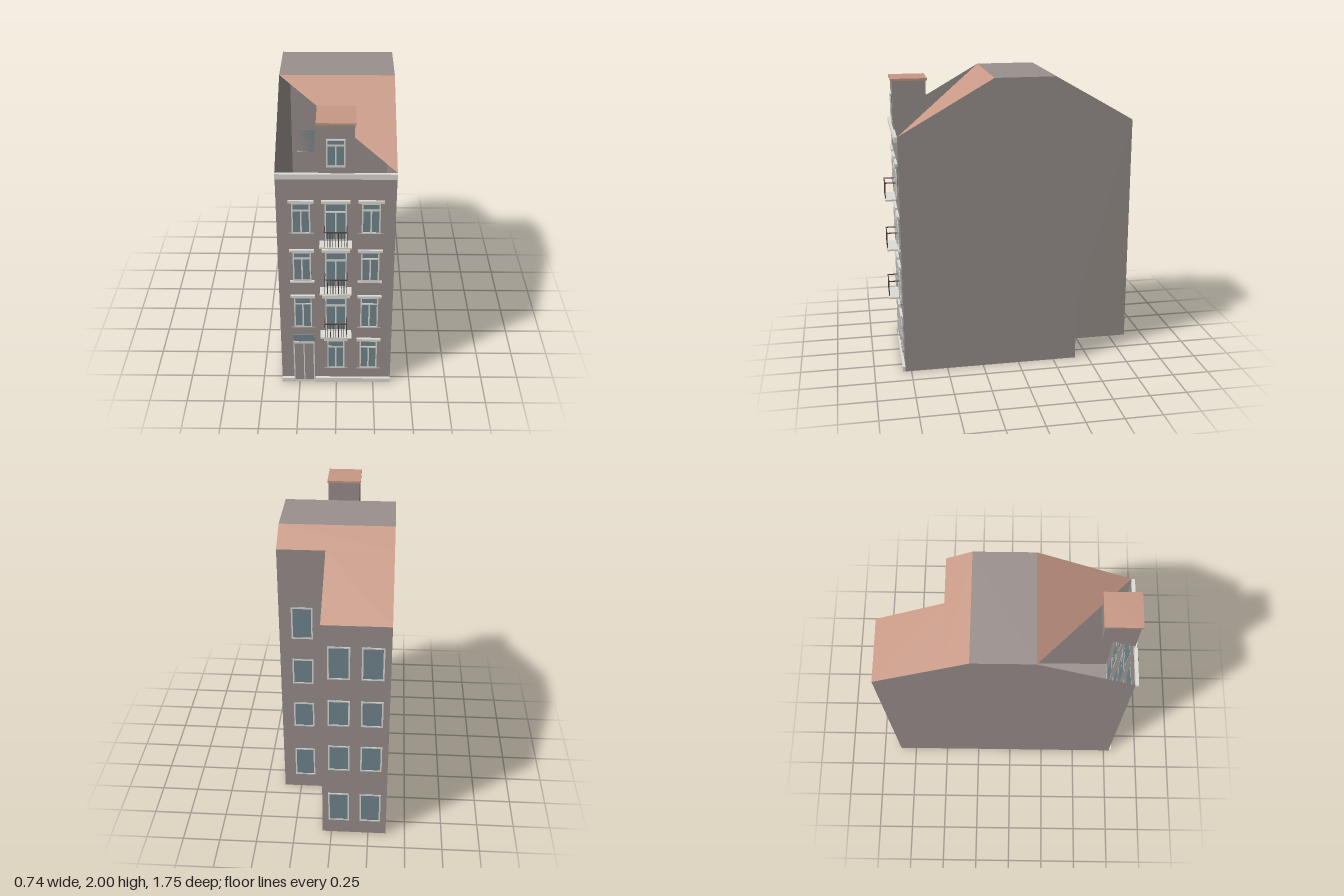
import * as THREE from 'three';

const mat = (name, color) => {
  const m = new THREE.MeshStandardMaterial({ color, side: THREE.DoubleSide });
  m.name = name;
  return m;
};

export function createModel() {
  const wall = mat('wallGrey', 0x9a908d);
  const tile = mat('roofTile', 0xc79885);
  const trim = mat('trimWhite', 0xdedcd5);
  const glass = mat('windowGlass', 0x71878e);
  const iron = mat('railIron', 0x54423f);
  const house = new THREE.Group();
  house.name = 'townhouse';

  // Box given by its limits
  const box = (parent, name, m, x0, x1, y0, y1, z0, z1) => {
    const mesh = new THREE.Mesh(new THREE.BoxGeometry(x1 - x0, y1 - y0, z1 - z0), m);
    mesh.position.set((x0 + x1) / 2, (y0 + y1) / 2, (z0 + z1) / 2);
    mesh.name = name;
    parent.add(mesh);
  };
  // Flat convex face, corners counter-clockwise from outside
  const face = (name, m, ...pts) => {
    const tri = [];
    for (let i = 1; i < pts.length - 1; i++) tri.push(...pts[0], ...pts[i], ...pts[i + 1]);
    const g = new THREE.BufferGeometry();
    g.setAttribute('position', new THREE.Float32BufferAttribute(tri, 3));
    g.computeVertexNormals();
    const mesh = new THREE.Mesh(g, m);
    mesh.name = name;
    house.add(mesh);
  };
  const group = (name) => {
    const g = new THREE.Group();
    g.name = name;
    house.add(g);
    return g;
  };

  // Shell: L-shaped plan with a flat-topped gable
  const L = -0.37, R = 0.367, N = 0.06;           // side walls and notch
  const F = 0.79, B = -0.87, S = -0.41;           // front, rear wing, rear step
  const E = 1.64, T = 2, TF = 0.16, TB = -0.24;   // eaves, top and its z limits
  const SY = T - (T - E) * (TB - S) / (TB - B);   // roof height at the step

  face('frontWall', wall, [L, 0, F], [R, 0, F], [R, E, F], [L, E, F]);
  face('rightEndWall', wall, [L, 0, B], [L, 0, F], [L, E, F], [L, T, TF], [L, T, TB], [L, E, B]);
  face('leftEndWall', wall, [R, 0, F], [R, 0, S], [R, SY, S], [R, T, TB], [R, T, TF], [R, E, F]);
  face('wingSideWall', wall, [N, 0, S], [N, 0, B], [N, E, B], [N, SY, S]);
  face('wingBackWall', wall, [N, 0, B], [L, 0, B], [L, E, B], [N, E, B]);
  face('stepBackWall', wall, [R, 0, S], [N, 0, S], [N, SY, S], [R, SY, S]);
  face('mainFloor', wall, [L, 0, S], [R, 0, S], [R, 0, F], [L, 0, F]);
  face('wingFloor', wall, [L, 0, B], [N, 0, B], [N, 0, S], [L, 0, S]);
  face('flatRoof', wall, [L, T, TF], [R, T, TF], [R, T, TB], [L, T, TB]);
  face('backRoofUpper', tile, [R, T, TB], [R, SY, S], [L, SY, S], [L, T, TB]);
  face('backRoofWing', tile, [N, SY, S], [N, E, B], [L, E, B], [L, SY, S]);
  // Only one half of the front slope is covered
  face('frontRoof', tile, [L, T, TF], [R, E, F], [R, T, TF]);

  // Cornice and plinth
  box(house, 'cornice', trim, L, R, 1.605, E, F, 0.812);
  box(house, 'plinthRight', trim, L, -0.287, 0, 0.035, F, 0.808);
  box(house, 'plinthLeft', trim, -0.143, R, 0, 0.035, F, 0.808);

  // Front window: glass, frame, mullion and transom
  const frontWindow = (name, cx, w, y0, y1, transom, z = F) => {
    const g = group(name), x0 = cx - w / 2, x1 = cx + w / 2, b = 0.009, zf = z + 0.009;
    box(g, 'glass', glass, x0, x1, y0, y1, z, z + 0.005);
    box(g, 'frameSide', trim, x0, x0 + b, y0, y1, z, zf);
    box(g, 'frameSide', trim, x1 - b, x1, y0, y1, z, zf);
    box(g, 'frameBottom', trim, x0, x1, y0, y0 + b, z, zf);
    box(g, 'frameTop', trim, x0, x1, y1 - b, y1, z, zf);
    box(g, 'transom', trim, x0, x1, transom - 0.006, transom + 0.006, z, zf);
    box(g, 'mullion', trim, cx - 0.005, cx + 0.005, y0, transom, z, zf);
    return g;
  };
  const CX = [-0.218, -0.003, 0.215];
  // bottom, top, transom, balcony-door bottom
  const rows = [
    [0.12, 0.36, 0.305, null],
    [0.472, 0.717, 0.665, 0.445],
    [0.85, 1.073, 1.022, 0.8],
    [1.213, 1.432, 1.38, 1.157],
  ];
  rows.forEach(([y0, y1, t, door], r) => {
    CX.forEach((cx, c) => {
      if (r === 0 && c === 0) return;
      const french = c === 1 && door !== null;
      const g = frontWindow(french ? 'balconyWindow' : 'frontWindow', cx,
        french ? 0.138 : 0.116, french ? door : y0, y1, french ? t - 0.012 : t);
      const h = french ? 0.09 : 0.079;
      box(g, 'lintel', trim, cx - h, cx + h, y1, y1 + 0.018, F, 0.806);
      if (!french) box(g, 'sill', r === 2 ? trim : wall, cx - h, cx + h, y0 - 0.012, y0, F, 0.803);
    });
    if (door === null) return;
    // Balcony with iron railing
    const g = group('balcony'), cx = CX[1], top = door + 0.11, zr = 0.867;
    box(g, 'slab', trim, cx - 0.102, cx + 0.102, door - 0.013, door - 0.002, F, 0.87);
    for (const s of [-1, 1]) {
      const x = cx + s * 0.07;
      box(g, 'sideRail', iron, x - 0.003, x + 0.003, top - 0.006, top, F, zr);
    }
    box(g, 'frontRail', iron, cx - 0.073, cx + 0.073, top - 0.006, top, zr - 0.004, zr + 0.002);
    for (let i = 0; i < 9; i++) {
      const x = cx - 0.07 + i * 0.0175;
      box(g, 'baluster', iron, x - 0.002, x + 0.002, door - 0.002, top, zr - 0.003, zr + 0.001);
    }
  });

  // Front door with fanlight
  const d = group('frontDoor');
  box(d, 'doorLeaves', wall, -0.285, -0.148, 0.005, 0.335, F, 0.797);
  box(d, 'fanlight', glass, -0.285, -0.148, 0.35, 0.405, F, 0.797);
  box(d, 'doorHead', trim, -0.287, -0.145, 0.335, 0.35, F, 0.802);
  for (const [x, w] of [[-0.284, 0.008], [-0.217, 0.007], [-0.15, 0.008]])
    box(d, 'doorPost', trim, x - w / 2, x + w / 2, 0.005, 0.335, F, 0.802);
  box(d, 'doorStep', trim, -0.287, -0.145, 0, 0.01, F, 0.802);

  // Dormer, its underside following the slope
  const side = new THREE.Shape([[0.797, E], [0.797, 1.96], [0.577, 1.96], [0.577, 1.764]]
    .map(([z, y]) => new THREE.Vector2(-z, y)));
  const dg = new THREE.ExtrudeGeometry(side, { depth: 0.22, bevelEnabled: false });
  dg.rotateY(Math.PI / 2).translate(-0.11, 0, 0);
  const dormer = new THREE.Mesh(dg, wall);
  dormer.name = 'dormerWalls';
  house.add(dormer);
  box(house, 'dormerRoof', tile, -0.119, 0.117, 1.96, 1.975, 0.567, 0.808);
  frontWindow('dormerWindow', -0.003, 0.115, 1.685, 1.87, 1.83, 0.797);

  // Rear windows
  const rearRows = [[0.11, 0.345], [0.545, 0.745], [0.905, 1.1], [1.26, 1.495]];
  for (const [cx, z] of [[-0.26, B], [-0.05, B], [0.217, S]])
    for (const [y0, y1] of rearRows) {
      const g = group('rearWindow'), x0 = cx - 0.07, x1 = cx + 0.07, b = 0.01, zf = z - 0.006;
      box(g, 'glass', glass, x0, x1, y0, y1, z - 0.003, z);
      box(g, 'frameSide', trim, x0, x0 + b, y0, y1, zf, z);
      box(g, 'frameSide', trim, x1 - b, x1, y0, y1, zf, z);
      box(g, 'frameBottom', trim, x0, x1, y0, y0 + b, zf, z);
      box(g, 'frameTop', trim, x0, x1, y1 - b, y1, zf, z);
    }
  return house;
}
